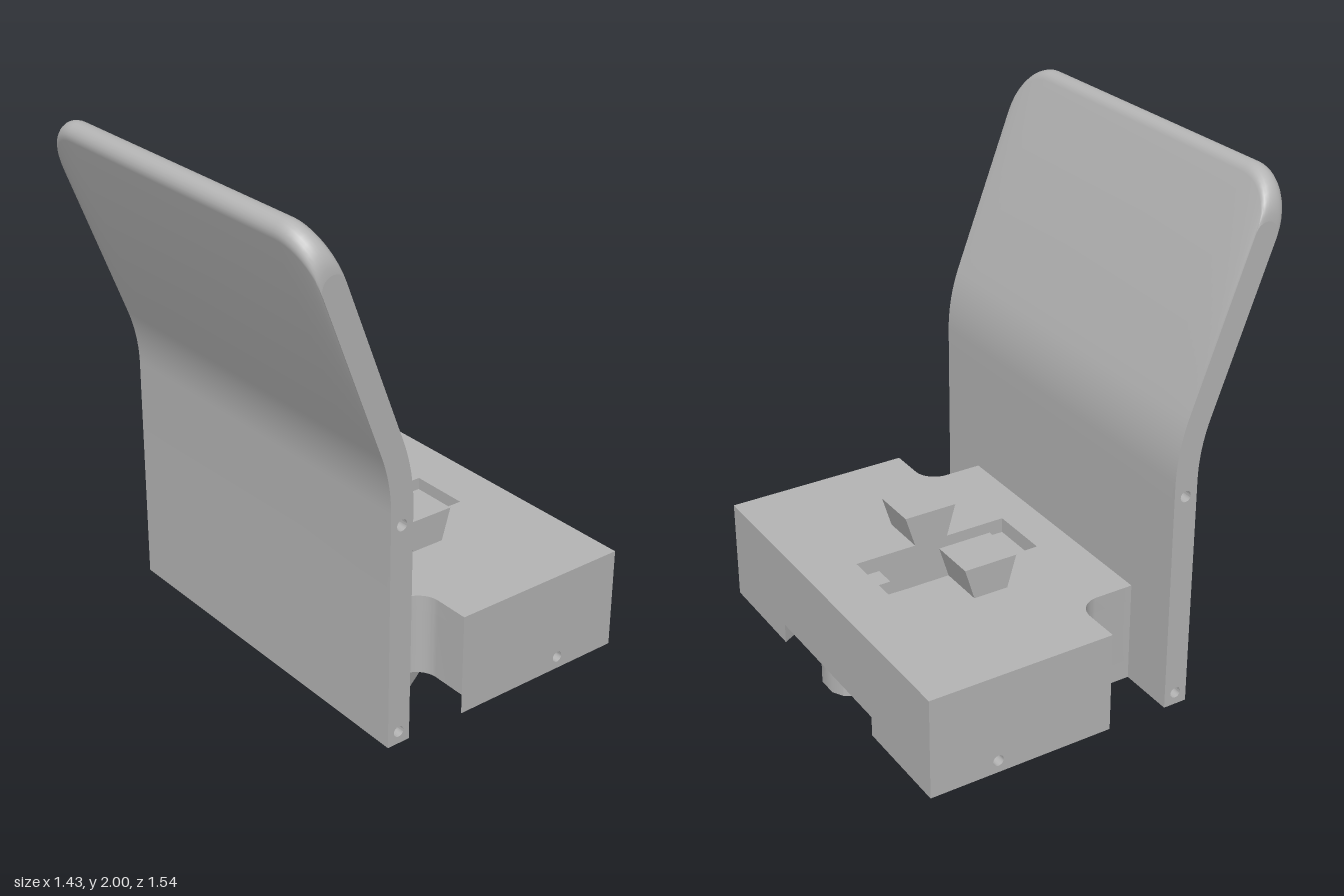
import * as THREE from 'three';
import { toCreasedNormals } from 'three/addons/utils/BufferGeometryUtils.js';

const HALF_Z = 0.77, FRONT_X = 0.71, TOP_Y = 0.407, SLOT_Y = 0.08;
const HOLE_R = 0.022;

const poly = (pts) => new THREE.Shape(pts.map(([x, y]) => new THREE.Vector2(x, y)));

function addHole(shape, x, y, r = HOLE_R) {
  const hole = new THREE.Path();
  hole.absarc(x, y, r, 0, Math.PI * 2, true);
  shape.holes.push(hole);
}

export function createModel() {
  const group = new THREE.Group();
  const grey = new THREE.MeshStandardMaterial({ color: 0xb4b4b4, side: THREE.DoubleSide });
  const add = (name, geometry, parent = group) => {
    const mesh = new THREE.Mesh(geometry, grey);
    mesh.name = name;
    parent.add(mesh);
    return mesh;
  };

  // Upper block: outline with filleted side notches, in two layers around the window
  const outline = () => {
    const s = new THREE.Shape();
    s.moveTo(FRONT_X, -HALF_Z);
    s.lineTo(FRONT_X, HALF_Z);
    s.lineTo(-0.04, HALF_Z);
    s.lineTo(-0.04, 0.63);
    s.absarc(-0.13, 0.63, 0.09, 0, -Math.PI / 2, true);
    s.lineTo(-0.285, 0.54);
    s.lineTo(-0.285, -0.54);
    s.lineTo(-0.13, -0.54);
    s.absarc(-0.13, -0.63, 0.09, Math.PI / 2, 0, true);
    s.lineTo(-0.04, -HALF_Z);
    return s;
  };
  const layer = (name, y0, y1, windowPts) => {
    const s = outline();
    s.holes.push(new THREE.Path(windowPts.map(([x, y]) => new THREE.Vector2(x, y))));
    const g = new THREE.ExtrudeGeometry(s, { depth: y1 - y0, bevelEnabled: false, curveSegments: 10 });
    g.rotateX(-Math.PI / 2).translate(0, y0, 0);
    add(name, toCreasedNormals(g, 0.6));
  };
  layer('blockBody', SLOT_Y, 0.345, [
    [-0.04, -0.125], [-0.04, 0.125], [0.41, 0.125], [0.41, 0.038],
    [0.46, 0.038], [0.46, -0.038], [0.41, -0.038], [0.41, -0.125],
  ]);
  layer('blockTop', 0.345, TOP_Y, [[-0.14, -0.125], [-0.14, 0.125], [0.505, 0.125], [0.505, -0.125]]);

  // Underside: mirrored slabs leave two diagonal slots, the window and a cross hole
  const innerWall = (x) => 0.07 + 0.58 * (FRONT_X - x);
  const outerWall = (x) => 0.35 + 0.56 * (FRONT_X - x);
  const at = (v) => () => v;
  const slabs = [
    ['rearFoot', -0.285, -0.1, at(0), at(0.54)],
    ['rearFoot', -0.1, -0.04, at(0), innerWall],
    ['windowSideFoot', -0.04, 0.41, at(0.125), innerWall],
    ['centreFoot', 0.41, 0.46, at(0.038), innerWall, true],
    ['centreFoot', 0.46, 0.685, at(0), innerWall],
    ['centreFootTip', 0.685, FRONT_X, at(0), (x) => 0.04 + 1.78 * (FRONT_X - x)],
    ['cornerFoot', -0.04, FRONT_X, outerWall, at(HALF_Z), true],
  ];
  const underside = new THREE.Group();
  underside.name = 'underside';
  group.add(underside);
  for (const [name, x0, x1, zIn, zOut, drilled] of slabs) {
    for (const side of [1, -1]) {
      const s = poly([[x0, 0], [x1, 0], [x1, SLOT_Y], [x0, SLOT_Y]]);
      if (drilled) addHole(s, 0.435, 0.05);
      const g = new THREE.ExtrudeGeometry(s, { depth: 1, bevelEnabled: false, curveSegments: 8 });
      const p = g.attributes.position;
      for (let i = 0; i < p.count; i++) {
        const x = p.getX(i);
        const t = side > 0 ? p.getZ(i) : 1 - p.getZ(i);
        p.setZ(i, side * THREE.MathUtils.lerp(zIn(x), zOut(x), t));
      }
      add(name, toCreasedNormals(g, 0.6), underside);
    }
  }

  // Dovetail lugs beside the window
  for (const z0 of [0.125, -0.31]) {
    const s = poly([[0.112, TOP_Y - 0.005], [0.25, TOP_Y - 0.005], [0.29, 0.535], [0.072, 0.535]]);
    const g = new THREE.ExtrudeGeometry(s, { depth: 0.185, bevelEnabled: false });
    add('lug', g.translate(0, 0, z0));
  }

  // Backrest: bent profile lofted across z, shortened at the ends to round the corners
  const half = 0.048, cx = -0.333, bendY = 0.93, bendR = 0.7, tilt = 0.366, corner = 0.165;
  const dirX = -Math.sin(tilt), dirY = Math.cos(tilt);
  const profile = (drop) => {
    const spine = [[cx, 0, 0]];
    for (let i = 0; i <= 10; i++) {
      const a = (tilt * i) / 10;
      spine.push([cx - bendR * (1 - Math.cos(a)), bendY + bendR * Math.sin(a), a]);
    }
    const [ex, ey] = spine[spine.length - 1];
    const len = (2 - half - ey) / dirY - drop;
    const tx = ex + dirX * len, ty = ey + dirY * len;
    const offset = (d) => ([x, y, a]) => [x + d * Math.cos(a), y + d * Math.sin(a)];
    const tip = [];
    for (let i = 0; i <= 12; i++) {
      const a = tilt + (Math.PI * i) / 12;
      tip.push([tx + half * Math.cos(a), ty + half * Math.sin(a)]);
    }
    return [...spine.map(offset(half)), ...tip, ...spine.map(offset(-half)).reverse()];
  };
  const stations = [];
  for (let i = 0; i <= 10; i++) {
    const a = (Math.PI / 2) * (1 - i / 10);
    stations.push([-(HALF_Z - corner + corner * Math.sin(a)), corner * (1 - Math.cos(a))]);
  }
  stations.push(...stations.map(([z, d]) => [-z, d]).reverse());
  const positions = [], index = [];
  const n = profile(0).length;
  stations.forEach(([z, drop], j) => {
    profile(drop).forEach(([x, y], i) => {
      positions.push(x, y, z);
      if (j < stations.length - 1 && i < n - 1) {
        const a = j * n + i, b = a + 1, c = a + n, d = c + 1;
        index.push(a, b, c, b, d, c);
      }
    });
  });
  const shell = new THREE.BufferGeometry();
  shell.setAttribute('position', new THREE.Float32BufferAttribute(positions, 3));
  shell.setIndex(index);
  const backrest = new THREE.Group();
  backrest.name = 'backrest';
  group.add(backrest);
  add('backrestShell', toCreasedNormals(shell, 0.6), backrest);

  // Blind screw socket, opening along local +y
  const socket = (x, y, z, rx) => {
    const pts = [[0, -0.06], [HOLE_R, -0.06], [HOLE_R, 0]].map(([r, h]) => new THREE.Vector2(r, h));
    const g = toCreasedNormals(new THREE.LatheGeometry(pts, 16), 0.6);
    add('screwSocket', g.rotateX(rx).translate(x, y, z), backrest);
  };

  // Drilled side edges
  for (const side of [1, -1]) {
    const s = poly(profile(corner));
    for (const y of [0.05, 0.88]) {
      addHole(s, cx, y);
      socket(cx, y, side * HALF_Z, (side * Math.PI) / 2);
    }
    const g = new THREE.ShapeGeometry(s, 8);
    if (side < 0) g.rotateY(Math.PI).scale(-1, 1, 1), g.index.array.reverse(); // mirrored cap
    add('backrestEdge', g.translate(0, 0, side * HALF_Z), backrest);
  }

  // Drilled bottom edge
  const bottom = poly([
    [cx - half, -HALF_Z], [cx + half, -HALF_Z], [cx + half, HALF_Z], [cx - half, HALF_Z],
  ]);
  for (const z of [-0.46, 0.46]) {
    addHole(bottom, cx, z);
    socket(cx, 0, z, Math.PI);
  }
  add('backrestBottom', new THREE.ShapeGeometry(bottom, 8).rotateX(Math.PI / 2), backrest);

  return group;
}
